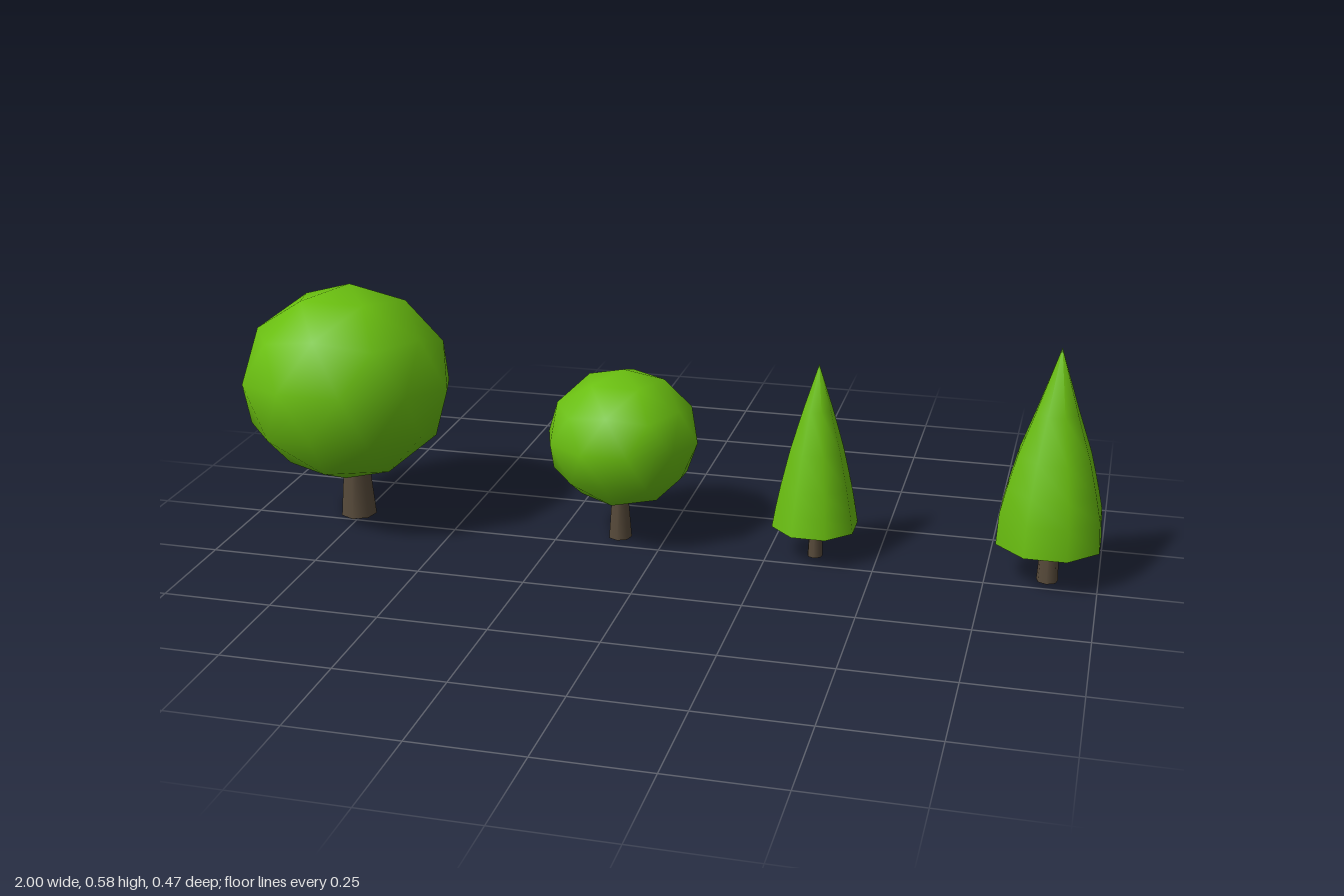
import * as THREE from 'three';

export function createModel() {
  const model = new THREE.Group();
  const leaf = new THREE.MeshStandardMaterial({ color: 0x6abf10 });
  leaf.name = 'leafGreen';
  const bark = new THREE.MeshStandardMaterial({ color: 0x574a3a });
  bark.name = 'barkBrown';

  function add(parent, name, geometry, material) {
    const mesh = new THREE.Mesh(geometry, material);
    mesh.name = name;
    parent.add(mesh);
    return mesh;
  }

  function tree(name, x, z) {
    const group = new THREE.Group();
    group.name = name;
    group.position.set(x, 0, z);
    model.add(group);
    return group;
  }

  // Tapered trunk standing on the ground
  function trunk(parent, x, z, rBottom, rTop, height) {
    const g = new THREE.CylinderGeometry(rTop, rBottom, height, 7);
    g.translate(x, height / 2, z);
    add(parent, 'trunk', g, bark);
  }

  // Squashed, slightly tilted ball of leaves with a corner pointing up
  function roundCrown(parent, y, rx, ry, rz, tilt) {
    const upright = Math.atan((1 + Math.sqrt(5)) / 2);
    const g = new THREE.IcosahedronGeometry(1, 1);
    g.rotateX(upright - tilt);
    g.scale(rx, ry, rz);
    g.translate(0, y, 0);
    add(parent, 'roundCrown', g, leaf);
  }

  // Eight-sided cone with a bulging skirt and a hollowed underside
  function coneCrown(parent, profile, hollowY) {
    const lathe = (pts) => new THREE.LatheGeometry(
      pts.map(([r, y]) => new THREE.Vector2(r, y)), 8, Math.PI / 8);
    add(parent, 'coneCrown', lathe(profile), leaf);
    add(parent, 'crownUnderside', lathe([[0, hollowY], profile[0]]), leaf);
  }

  const largeRound = tree('largeRoundTree', -0.753, 0.002);
  roundCrown(largeRound, 0.352, 0.248, 0.231, 0.246, 0.17);
  trunk(largeRound, -0.009, -0.047, 0.043, 0.026, 0.19);

  const smallRound = tree('smallRoundTree', -0.102, -0.067);
  roundCrown(smallRound, 0.248, 0.179, 0.162, 0.179, 0.06);
  trunk(smallRound, -0.006, 0.008, 0.028, 0.018, 0.13);

  const smallCone = tree('smallConeTree', 0.356, -0.06);
  coneCrown(smallCone, [
    [0.101, 0.078], [0.093, 0.125], [0.082, 0.18], [0.062, 0.265], [0.034, 0.36], [0, 0.465],
  ], 0.1);
  trunk(smallCone, 0.002, 0, 0.018, 0.012, 0.13);

  const largeCone = tree('largeConeTree', 0.885, -0.057);
  coneCrown(largeCone, [
    [0.123, 0.092], [0.119, 0.165], [0.105, 0.225], [0.085, 0.3], [0.049, 0.4], [0, 0.545],
  ], 0.12);
  trunk(largeCone, 0.003, 0.007, 0.025, 0.017, 0.15);

  return model;
}
